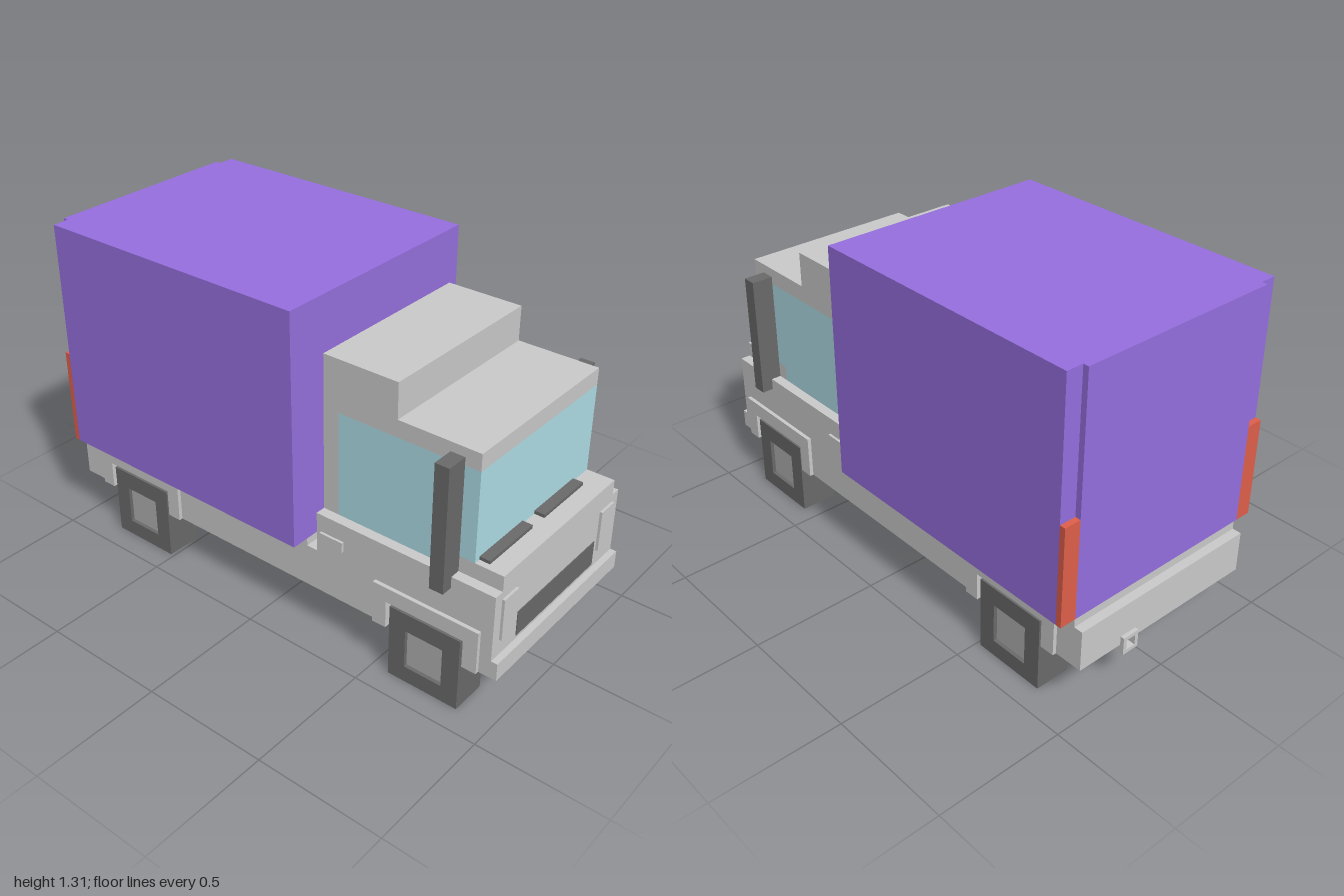
import * as THREE from 'three';

const mat = (color) => new THREE.MeshStandardMaterial({ color, flatShading: true });

export function createModel() {
  const truck = new THREE.Group();
  const grey = mat(0xcccccc);
  const dark = mat(0x6b6b6b);
  const hubGrey = mat(0xb2b2b2);
  const purple = mat(0x9670e0);
  const red = mat(0xe0604c);
  const glass = mat(0xb0dfe8);

  const add = (name, geometry, material) => {
    const mesh = new THREE.Mesh(geometry, material);
    mesh.name = name;
    truck.add(mesh);
    return mesh;
  };
  // Box given by its extents on each axis
  const box = (name, material, [x0, x1], [y0, y1], [z0, z1]) =>
    add(name, new THREE.BoxGeometry(x1 - x0, y1 - y0, z1 - z0)
      .translate((x0 + x1) / 2, (y0 + y1) / 2, (z0 + z1) / 2), material);
  // Same box on both sides
  const pair = (name, material, [x0, x1], y, z) => {
    box(name + 'Left', material, [x0, x1], y, z);
    box(name + 'Right', material, [-x1, -x0], y, z);
  };
  // Side outline of [z, y] points, with optional hole, extruded from x0 to x1
  const sidePlate = (name, material, points, [x0, x1], hole) => {
    const toV = (list) => list.map(([z, y]) => new THREE.Vector2(z, y));
    const shape = new THREE.Shape(toV(points));
    if (hole) shape.holes.push(new THREE.Path(toV(hole)));
    const g = new THREE.ExtrudeGeometry(shape, { depth: x1 - x0, bevelEnabled: false });
    g.rotateY(-Math.PI / 2).translate(x1, 0, 0);
    return add(name, g, material);
  };
  const rect = (z0, z1, y0, y1) => [[z0, y0], [z1, y0], [z1, y1], [z0, y1]];

  // Wheel arches cut right through the chassis
  const axles = [-0.66, 0.715];
  const archHalf = 0.158, archTop = 0.31, base = 0.2;
  const arch = (c) => [[c - archHalf, base], [c - archHalf, archTop],
    [c + archHalf, archTop], [c + archHalf, base]];

  // Chassis and lower cab in one side outline
  sidePlate('chassis', grey, [
    [-0.985, base], ...arch(axles[0]), ...arch(axles[1]), [0.975, base],
    [0.975, 0.53], [0.24, 0.53], [0.24, 0.37], [0.195, 0.37], [0.195, 0.4],
    [-0.95, 0.4], [-0.95, 0.36], [-0.985, 0.36],
  ], [-0.395, 0.395]);

  // Fenders and wheels
  axles.forEach((c, i) => {
    const end = i ? 'front' : 'rear';
    for (const s of [1, -1]) {
      const label = end + (s > 0 ? 'Left' : 'Right');
      const span = (a, b) => (s > 0 ? [a, b] : [-b, -a]);
      sidePlate(label + 'Fender', grey, [
        [c - 0.215, base], ...arch(c), [c + 0.215, base], [c + 0.215, 0.37], [c - 0.215, 0.37],
      ], span(0.395, 0.41));
      box(label + 'Tyre', dark, span(0.26, 0.385), [0, 0.295], [c - 0.145, c + 0.145]);
      sidePlate(label + 'TyreRim', dark, rect(c - 0.145, c + 0.145, 0, 0.295),
        span(0.385, 0.405), rect(c - 0.077, c + 0.077, 0.065, 0.222));
      box(label + 'Hub', hubGrey, span(0.38, 0.39), [0.065, 0.222], [c - 0.077, c + 0.077]);
    }
  });

  // Cab: hood, wrap-around glass, rear wall, roof and raised roof
  const cabX = [-0.355, 0.355];
  box('hood', grey, cabX, [0.53, 0.59], [0.705, 0.975]);
  box('cabGlassUpper', glass, cabX, [0.59, 0.935], [0.305, 0.865]);
  box('cabGlassLower', glass, cabX, [0.53, 0.59], [0.305, 0.705]);
  box('cabRearWall', grey, cabX, [0.53, 0.935], [0.24, 0.305]);
  box('roof', grey, cabX, [0.935, 1.0], [0.24, 0.865]);
  box('raisedRoof', grey, cabX, [1.0, 1.135], [0.24, 0.545]);

  // Front details
  box('frontBumper', grey, [-0.395, 0.395], [base, 0.27], [0.975, 1]);
  box('grille', dark, [-0.25, 0.25], [0.285, 0.385], [0.965, 0.978]);
  pair('headlight', grey, [0.27, 0.355], [0.335, 0.5], [0.975, 0.985]);
  pair('mirror', dark, [0.355, 0.44], [0.485, 0.965], [0.75, 0.805]);
  pair('doorHandle', grey, [0.395, 0.405], [0.42, 0.46], [0.26, 0.36]);
  box('wiperRight', dark, [-0.33, -0.075], [0.587, 0.603], [0.865, 0.905]);
  box('wiperLeft', dark, [0, 0.255], [0.587, 0.603], [0.865, 0.905]);

  // Cargo box with a raised rear door and corner lamps
  box('cargoBox', purple, [-0.465, 0.465], [0.4, 1.312], [-0.935, 0.195]);
  box('rearDoor', purple, [-0.4, 0.4], [0.4, 1.312], [-0.957, -0.935]);
  pair('rearLamp', red, [0.4, 0.465], [0.4, 0.785], [-0.957, -0.935]);

  // Tow hitch: a square tube under the tail
  const square = (P, h) => new P([[-h, -h], [h, -h], [h, h], [-h, h]]
    .map(([x, y]) => new THREE.Vector2(x, y)));
  const tube = square(THREE.Shape, 0.035);
  tube.holes.push(square(THREE.Path, 0.02));
  add('towHitch', new THREE.ExtrudeGeometry(tube, { depth: 0.19, bevelEnabled: false })
    .translate(0.172, 0.2, -1), grey);

  return truck;
}
